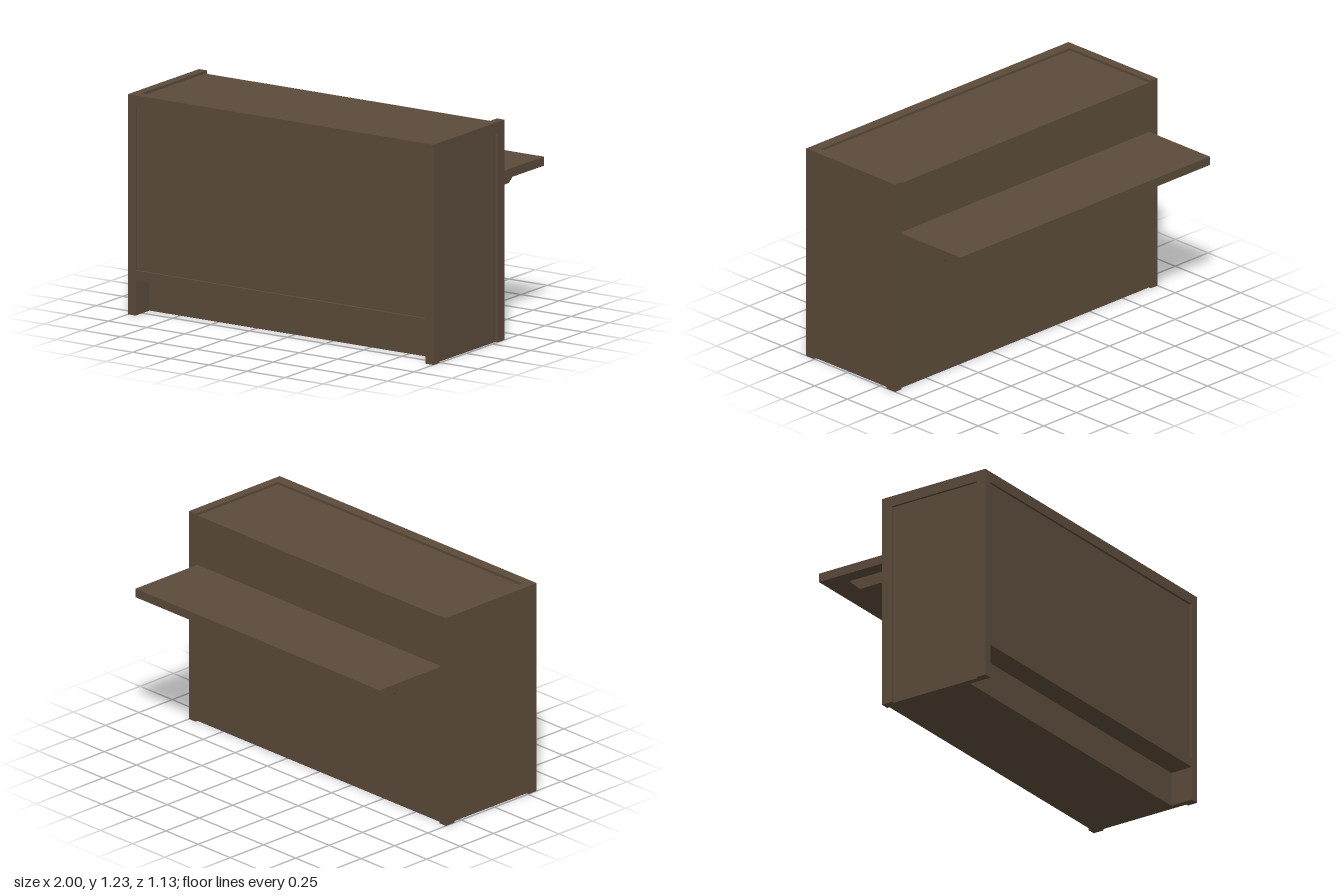
import * as THREE from 'three';

export function createModel() {
  const model = new THREE.Group();
  model.name = 'counter';
  const wood = new THREE.MeshStandardMaterial({ color: 0x5a4a3a });
  wood.name = 'dark brown wood';

  const add = (name, geometry) => {
    const mesh = new THREE.Mesh(geometry, wood);
    mesh.name = name;
    model.add(mesh);
  };

  // Box given by its limits on each axis
  const box = (name, x0, x1, y0, y1, z0, z1) => {
    const g = new THREE.BoxGeometry(x1 - x0, y1 - y0, z1 - z0);
    add(name, g.translate((x0 + x1) / 2, (y0 + y1) / 2, (z0 + z1) / 2));
  };

  // Side profile of [z, y] points, extruded along x from x0 to x1
  const profile = (name, points, x0, x1) => {
    const shape = new THREE.Shape(points.map(([z, y]) => new THREE.Vector2(-z, y)));
    const g = new THREE.ExtrudeGeometry(shape, { depth: x1 - x0, bevelEnabled: false });
    add(name, g.rotateY(Math.PI / 2).translate(x0, 0, 0));
  };

  const H = 1.225, FRONT = 0.565, BACK = -0.115, IN = 0.95, RAIL = 1.165;

  // Carcass: back, sunken top and front panels, toe recess
  profile('carcass', [
    [-0.1, 0], [0.43, 0], [0.43, 0.195], [0.55, 0.195], [0.55, 1.21], [-0.1, 1.21],
  ], -IN, IN);

  // Front rails between the posts
  box('frontTopRail', -IN, IN, RAIL, H, 0.505, FRONT);
  box('frontLowerRail', -IN, IN, 0.195, 0.25, 0.505, FRONT);

  for (const [side, s] of [['left', 1], ['right', -1]]) {
    const sideBox = (name, a, b, ...rest) =>
      box(side + name, Math.min(a * s, b * s), Math.max(a * s, b * s), ...rest);

    // Side frame around a sunken panel
    sideBox('FrontPost', IN, 1, 0, H, 0.505, FRONT);
    sideBox('BackPost', IN, 1, 0, H, BACK, -0.05);
    sideBox('TopRail', IN, 1, RAIL, H, -0.05, 0.505);
    sideBox('SidePanel', IN, 0.985, 0, RAIL, -0.05, 0.505);

    // Chamfered bracket under the shelf
    const x = 0.81 * s;
    profile(side + 'ShelfBracket', [
      [-0.1, 0.805], [-0.1, 0.87], [-0.425, 0.87], [-0.355, 0.805],
    ], x - 0.055, x + 0.055);
  }

  // Shelf on the back
  box('backShelf', -IN, IN, 0.87, 0.92, -0.565, -0.1);

  return model;
}
